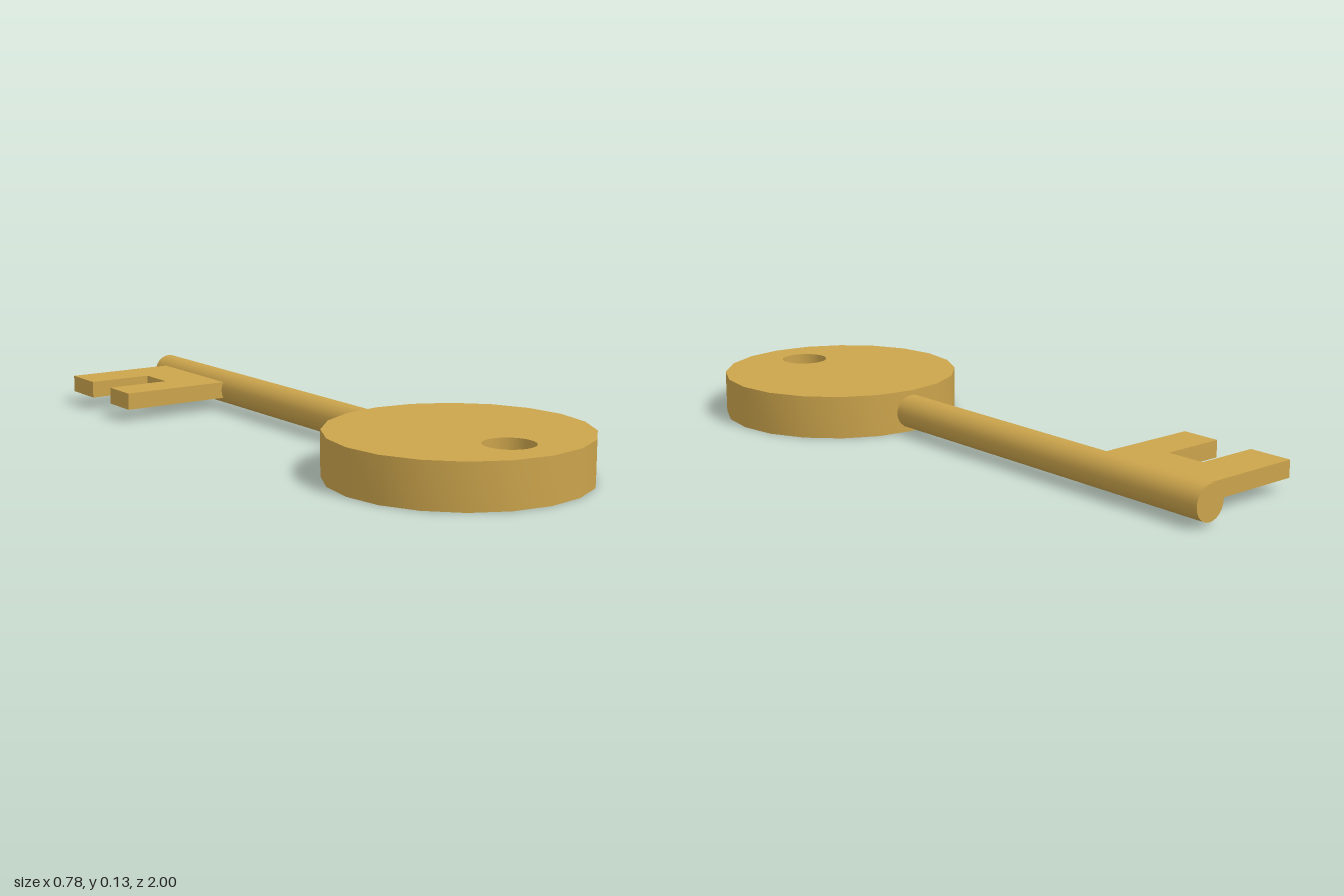
import * as THREE from 'three';
import { toCreasedNormals } from 'three/addons/utils/BufferGeometryUtils.js';

const CX = 0.01; // shared axis of bow and shaft

// Corner points of a regular polygon
function ring(x, z, r, n) {
  return Array.from({ length: n }, (_, i) => {
    const a = (i / n) * Math.PI * 2;
    return new THREE.Vector2(x + r * Math.cos(a), z + r * Math.sin(a));
  });
}

// Flat plate outlined in x/z, filling y from bottom to top
function plate(shape, bottom, top) {
  const geo = new THREE.ExtrudeGeometry(shape, { depth: top - bottom, bevelEnabled: false });
  geo.rotateX(Math.PI / 2).translate(0, top, 0);
  return toCreasedNormals(geo, Math.PI / 6);
}

export function createModel() {
  const key = new THREE.Group();
  key.name = 'key';
  const brass = new THREE.MeshStandardMaterial({ color: 0xcba44c });
  const add = (name, geo) => {
    const mesh = new THREE.Mesh(geo, brass);
    mesh.name = name;
    key.add(mesh);
  };

  // Round bow with a ring hole
  const bow = new THREE.Shape(ring(CX, 0.62, 0.38, 20));
  bow.holes.push(new THREE.Path(ring(CX, 0.83, 0.074, 32)));
  add('bow', plate(bow, 0, 0.133));

  // Shaft, running into the bow
  const shaft = new THREE.CylinderGeometry(0.053, 0.053, 1.28, 24);
  shaft.rotateX(Math.PI / 2).translate(CX, 0.065, -0.36);
  add('shaft', shaft);

  // Notched bit with two teeth
  const bit = new THREE.Shape([
    [CX, -0.94], [CX, -0.55], [-0.39, -0.55], [-0.39, -0.675],
    [-0.185, -0.675], [-0.185, -0.8], [-0.39, -0.8], [-0.39, -0.94],
  ].map(([x, z]) => new THREE.Vector2(x, z)));
  add('bit', plate(bit, 0.04, 0.093));

  return key;
}
